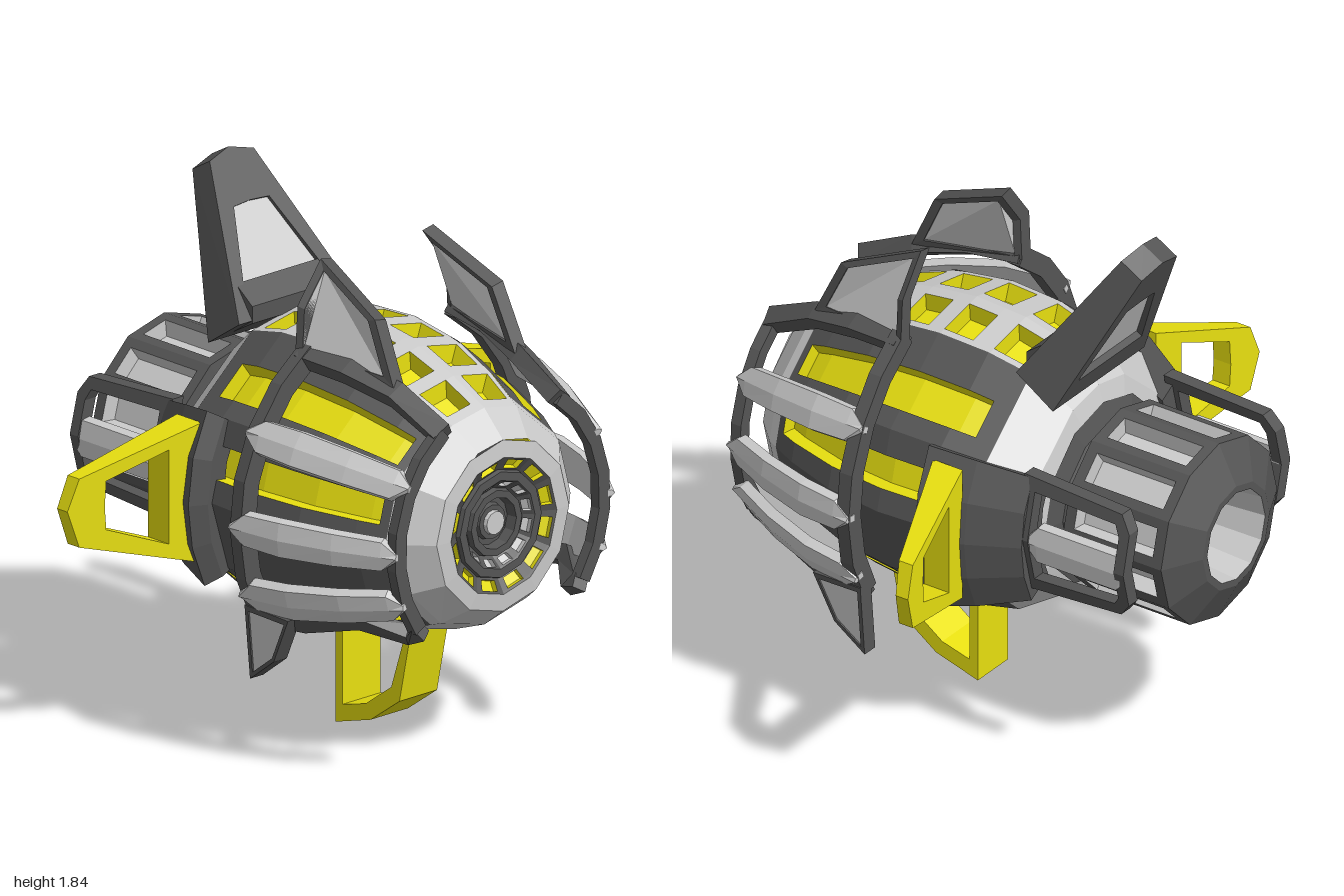
import * as THREE from 'three';

const CY = 0.85; // height of the long axis
const V = (x, y, z) => new THREE.Vector3(x, y, z);
const mat = (color) => new THREE.MeshStandardMaterial({ color, flatShading: true, side: THREE.DoubleSide });
const light = mat(0xcccccc), dark = mat(0x555555), yellow = mat(0xe8e010);
const rad = THREE.MathUtils.degToRad;

// Piecewise linear lookup in a list of [z, radius]
function lookup(table, z) {
  for (let i = 1; i < table.length; i++) {
    const [z0, r0] = table[i - 1], [z1, r1] = table[i];
    if (z <= z1 || i === table.length - 1) return r0 + (r1 - r0) * (z - z0) / (z1 - z0);
  }
}

// Faceted mesh from a flat list of triangle corners
function mesh(name, tris, material) {
  const g = new THREE.BufferGeometry().setFromPoints(tris);
  g.computeVertexNormals();
  const m = new THREE.Mesh(g, material);
  m.name = name;
  return m;
}
const quad = (out, a, b, c, d) => out.push(a, b, c, a, c, d);

// Joins rings of points into a solid; ring=true closes it into a hoop, otherwise ends are capped
function loft(name, rings, material, ring = false) {
  const out = [], n = rings[0].length;
  for (let i = 0; i < rings.length - (ring ? 0 : 1); i++) {
    const a = rings[i], b = rings[(i + 1) % rings.length];
    for (let j = 0; j < n; j++) quad(out, a[j], a[(j + 1) % n], b[(j + 1) % n], b[j]);
  }
  if (!ring) {
    const a = rings[0], b = rings.at(-1);
    for (let j = 1; j < n - 1; j++) out.push(a[0], a[j + 1], a[j], b[0], b[j], b[j + 1]);
  }
  let vol = 0;
  for (let i = 0; i < out.length; i += 3) vol += out[i].dot(out[i + 1].clone().cross(out[i + 2]));
  if (vol < 0) out.reverse();
  return mesh(name, out, material);
}

// Flat frame with an opening; place(point, t) gives the front (t=0) to back (t=1) position
const frame = (name, outer, inner, place, material) => loft(name, outer.map((o, i) =>
  [place(o, 0), place(o, 1), place(inner[i], 1), place(inner[i], 0)]), material, true);
const infill = (name, inner, place, material) =>
  loft(name, [inner.map((p) => place(p, 0.1)), inner.map((p) => place(p, 0.85))], material);

// Bar along a path; section(i) lists [sideways, outward] offsets from the axis of the body
function beam(name, pts, section, material) {
  return loft(name, pts.map((p, i) => {
    const T = pts[Math.min(i + 1, pts.length - 1)].clone().sub(pts[Math.max(i - 1, 0)]).normalize();
    const N = V(p.x, p.y - CY, 0);
    N.addScaledVector(T, -N.dot(T)).normalize();
    const S = T.clone().cross(N);
    return section(i).map(([s, n]) => p.clone().addScaledVector(S, s).addScaledVector(N, n));
  }), material);
}
const box = (w, t) => () => [[-w / 2, -t / 2], [w / 2, -t / 2], [w / 2, t / 2], [-w / 2, t / 2]];
const slatSection = (widths) => (i) => {
  const w = widths[i];
  return [[-w, -0.02], [w, -0.02], [w * 0.9, 0.015], [0, 0.025], [-w * 0.9, 0.015]];
};

// Grid skin with recessed windows: skin corners from top(i, j), window floors from floor(i, j)
function windowSkin(group, name, rows, cols, top, floor, hole, skinMat, floorMat) {
  const skin = [], base = [];
  const open = (i, j) => i >= 0 && j >= 0 && i < rows && j < cols && hole(i, j);
  for (let i = 0; i < rows; i++) for (let j = 0; j < cols; j++) {
    const c = [[i, j], [i, j + 1], [i + 1, j + 1], [i + 1, j]];
    if (!open(i, j)) { quad(skin, ...c.map((q) => top(...q))); continue; }
    quad(base, ...c.map((q) => floor(...q)));
    [[i, j - 1, 3, 0], [i, j + 1, 1, 2], [i - 1, j, 0, 1], [i + 1, j, 2, 3]].forEach(([ni, nj, a, b]) => {
      if (!open(ni, nj)) quad(base, top(...c[a]), top(...c[b]), floor(...c[b]), floor(...c[a]));
    });
  }
  group.add(mesh(name, skin, skinMat));
  if (base.length) group.add(mesh(name + 'Recess', base, floorMat));
}

// Turned part about the z axis, points are [radius, z]
function turned(name, pts, material) {
  const g = new THREE.LatheGeometry(pts.map(([r, z]) => new THREE.Vector2(r, z)), 12);
  g.rotateX(Math.PI / 2).translate(0, CY, 0);
  const m = new THREE.Mesh(g, material);
  m.name = name;
  return m;
}

// Twelve windows around a cone or drum
function windowRing(group, name, zr, floorZr, skinMat, floorMat) {
  const us = [0, 0.2, 0.8, 1];
  const at = (p, j) => {
    const k = Math.floor(j / 3), u = us[j % 3];
    const P = (q) => V(p[1] * Math.cos(q * Math.PI / 6), CY + p[1] * Math.sin(q * Math.PI / 6), p[0]);
    return P(k).lerp(P(k + 1), u);
  };
  windowSkin(group, name, 3, 36, (i, j) => at(zr[i], j), (i, j) => at(floorZr[i], j),
    (i, j) => i === 1 && j % 3 === 1, skinMat, floorMat);
}

const HULL = [[-0.33, 0.28], [-0.3, 0.39], [-0.16, 0.51], [0, 0.55], [0.2, 0.56], [0.42, 0.53], [0.62, 0.46], [0.76, 0.39], [0.85, 0.3]];
const CAGE = [[0.24, 0.635], [0.45, 0.61], [0.64, 0.55], [0.85, 0.455]];

function hullPoint(deg, z, inset = 0) {
  const r = lookup(HULL, z) - inset, a = rad(deg), s = Math.sin(a);
  const ry = s < 0 && r > 0.31 ? 0.31 + (r - 0.31) * 0.74 : r; // flatter belly
  return V(r * Math.cos(a), CY + ry * s, z);
}

// One lengthwise facet of the hull
function hullFacet(group, name, a0, a1, zs, us, hole, sx, skinMat) {
  const at = (inset) => (i, j) => {
    const p = hullPoint(a0, zs[i], inset).lerp(hullPoint(a1, zs[i], inset), us[j]);
    p.x *= sx;
    return p;
  };
  windowSkin(group, name, zs.length - 1, us.length - 1, at(0), at(0.065), hole, skinMat, yellow);
}

function hull() {
  const g = new THREE.Group();
  g.name = 'hull';
  const none = () => false;
  const topZ = [-0.33, -0.3, -0.16];
  for (const c of [-0.06, 0.14, 0.32, 0.5, 0.67]) topZ.push(c - 0.06, c + 0.055);
  topZ.push(0.76, 0.85);
  const slotZ = [-0.16, -0.09, 0, 0.2, 0.42, 0.62, 0.69, 0.72];
  for (const sx of [1, -1]) {
    hullFacet(g, 'topPanel', 68, 90, topZ, [0, 0.12, 0.8, 1], (i, j) => j === 1 && i >= 3 && i <= 11 && i % 2 === 1, sx, light);
    for (const [a0, a1, u0, u1] of [[30, 68, 0.2, 0.6], [0, 30, 0.28, 0.68], [-60, -30, 0.25, 0.68]]) {
      hullFacet(g, 'slotPanel', a0, a1, slotZ, [0, u0, u1, 1], (i, j) => j === 1 && i >= 1 && i <= 5, sx, dark);
    }
    hullFacet(g, 'sidePanel', -30, 0, slotZ, [0, 1], none, sx, dark);
    for (const [a0, a1] of [[30, 68], [0, 30], [-30, 0], [-60, -30]]) {
      hullFacet(g, 'rearCollar', a0, a1, [-0.33, -0.3, -0.16], [0, 1], none, sx, light);
      hullFacet(g, 'frontCollar', a0, a1, [0.72, 0.76, 0.85], [0, 1], none, sx, light);
    }
    hullFacet(g, 'bellyPanel', -90, -60, HULL.map((p) => p[0]), [0, 1], none, sx, light);
  }
  return g;
}

function nose() {
  const g = new THREE.Group();
  g.name = 'nose';
  g.add(turned('noseRing', [[0.3, 0.85], [0.24, 0.855]], light));
  windowRing(g, 'outerVents', [[0.855, 0.24], [0.85, 0.232], [0.83, 0.198], [0.825, 0.19]],
    [[0.84, 0.24], [0.83, 0.238], [0.81, 0.205], [0.8, 0.2]], dark, yellow);
  g.add(turned('noseStep', [[0.19, 0.825], [0.185, 0.84], [0.155, 0.84]], dark));
  windowRing(g, 'innerVents', [[0.84, 0.155], [0.835, 0.15], [0.81, 0.13], [0.8, 0.12]],
    [[0.82, 0.16], [0.815, 0.155], [0.79, 0.135], [0.78, 0.13]], dark, light);
  g.add(turned('noseCore', [[0.12, 0.8], [0.115, 0.82], [0.09, 0.82], [0.085, 0.78], [0.065, 0.78], [0.06, 0.8], [0.042, 0.8]], dark));
  g.add(turned('noseButton', [[0.042, 0.8], [0.04, 0.815], [0, 0.815]], light));
  return g;
}

function engine() {
  const g = new THREE.Group();
  g.name = 'engine';
  g.add(turned('nozzleBore', [[0, -0.62], [0.14, -0.62], [0.165, -0.86]], light));
  g.add(turned('nozzleRim', [[0.165, -0.86], [0.19, -0.86], [0.33, -0.79]], dark));
  windowRing(g, 'engineDrum', [[-0.79, 0.33], [-0.75, 0.33], [-0.43, 0.33], [-0.39, 0.33]],
    [[-0.79, 0.27], [-0.75, 0.27], [-0.43, 0.27], [-0.39, 0.27]], dark, light);
  g.add(turned('engineNeck', [[0.33, -0.39], [0.25, -0.38], [0.26, -0.34], [0.33, -0.32]], dark));
  return g;
}

// Slatted side shell with its fins, side wing and engine loop
function side(sx) {
  const g = new THREE.Group();
  g.name = sx > 0 ? 'leftSide' : 'rightSide';
  const m = (v) => V(v.x * sx, v.y, v.z);
  const C = (deg, z, up = 0) => {
    const r = lookup(CAGE, z) + up, a = rad(deg);
    return V(sx * r * Math.cos(a), CY + r * Math.sin(a), z);
  };
  const arc = (a0, a1, z) => Array.from({ length: 7 }, (_, i) => C(a0 + (a1 - a0) * i / 6, z));
  g.add(beam('rearHoop', arc(59, -31, 0.265), box(0.05, 0.07), dark));
  g.add(beam('frontHoop', arc(56, -37, 0.83), box(0.04, 0.05), dark));
  g.add(beam('upperRail', [[57, 0.25], [58, 0.45], [59, 0.64], [55, 0.84]].map(([a, z]) => C(a, z)), box(0.07, 0.06), dark));
  g.add(beam('lowerRail', [[-31, 0.25], [-31, 0.45], [-29, 0.66], [-40, 0.79], [-38, 0.84]].map(([a, z]) => C(a, z)), box(0.06, 0.05), dark));
  for (const a of [28, 0, -22]) {
    g.add(beam('slat', [0.24, 0.3, 0.45, 0.64, 0.8, 0.85].map((z) => C(a, z, 0.02)),
      slatSection([0.012, 0.06, 0.066, 0.062, 0.055, 0.012]), light));
  }

  // Upper and lower shell fins
  const fin = (name, pts, off, k) => {
    const outer = pts.map((p) => V(...p));
    const mid = outer.reduce((s, p) => s.add(p), V(0, 0, 0)).divideScalar(outer.length);
    const inner = outer.map((p) => p.clone().lerp(mid, k));
    const place = (p, t) => m(p.clone().addScaledVector(off, t));
    g.add(frame(name, outer, inner, place, dark), infill(name + 'Panel', inner, place, light));
  };
  fin('upperFin', [[0.255, 1.69, 0.24], [0.29, 1.56, 0.54], [0.3, 1.35, 0.64], [0.37, 1.38, 0.24], [0.36, 1.55, 0.24]], V(-0.05, -0.01, 0), 0.18);
  fin('lowerFin', [[0.6, 0.56, 0.24], [0.59, 0.55, 0.44], [0.58, 0.385, 0.36], [0.575, 0.295, 0.24]], V(-0.06, 0, 0), 0.18);

  // Shoulder block under the wing
  const block = [[0.5, 0.03], [0.57, 0.03], [0.63, 0], [0.57, -0.16], [0.48, -0.33], [0.37, -0.33]];
  g.add(loft('shoulder', [-28, -14, 0, 15, 30].map((d) => block.map(([r, z]) =>
    V(sx * r * Math.cos(rad(d)), CY + r * Math.sin(rad(d)), z))), dark));

  // Swept wing
  const wing = (p, t) => {
    const u = (p[0] - 0.55) / 0.45;
    return V(sx * p[0], p[1], t ? -0.14 - 0.1 * u : -0.02 - 0.17 * u);
  };
  g.add(frame('wing', [[0.55, 1.12], [0.96, 0.98], [1, 0.87], [0.96, 0.74], [0.55, 0.63]],
    [[0.66, 1.04], [0.87, 0.96], [0.875, 0.87], [0.87, 0.79], [0.66, 0.71]], wing, yellow));

  // Open loop beside the engine, bowed outward at mid height
  const loop = ([z, y], t) => V(sx * (0.475 - 0.25 * Math.abs(y - 0.88) - 0.05 * t), y, z);
  g.add(frame('engineLoop',
    [[-0.3, 1.1], [-0.7, 1.08], [-0.74, 1.02], [-0.74, 0.88], [-0.74, 0.75], [-0.7, 0.7], [-0.3, 0.67], [-0.3, 0.88]],
    [[-0.35, 1.05], [-0.68, 1.04], [-0.7, 1], [-0.7, 0.88], [-0.7, 0.77], [-0.68, 0.74], [-0.35, 0.72], [-0.35, 0.88]], loop, dark));
  g.add(beam('loopSlat', [-0.33, -0.38, -0.7, -0.73].map((z) => V(sx * 0.445, 0.87, z)),
    slatSection([0.012, 0.07, 0.07, 0.03]), light));
  return g;
}

export function createModel() {
  const model = new THREE.Group();
  model.name = 'spacecraft';
  model.add(hull(), nose(), engine(), side(1), side(-1));

  // Raked tail fin on a sill
  const tail = ([x, v], t) => V(x, 1.36 + 0.48 * v - t * (0.1 - 0.055 * v), -0.15 - 0.33 * v - t * (0.15 - 0.07 * v));
  const tailInner = [[-0.18, 0.18], [-0.08, 0.66], [0, 0.67], [0.08, 0.66], [0.18, 0.18]];
  model.add(frame('tailFin', [[-0.26, 0], [-0.1, 0.95], [0, 1], [0.1, 0.95], [0.26, 0]], tailInner, tail, dark));
  model.add(infill('tailFinPanel', tailInner, tail, light));
  const sill = [[-0.15, 1.35], [-0.15, 1.41], [-0.23, 1.47], [-0.27, 1.4], [-0.24, 1.3]];
  model.add(loft('tailSill', [-0.2, 0.2].map((x) => sill.map(([z, y]) => V(x, y, z))), dark));

  // Keel loop below the belly, points are [z, y]
  const keel = ([z, y], t) => V(0.085 - 0.17 * t, y, z);
  model.add(frame('keel', [[0.5, 0.43], [0.44, 0.15], [0.3, 0.05], [0.13, 0], [0.13, 0.4]],
    [[0.465, 0.385], [0.4, 0.19], [0.275, 0.1], [0.165, 0.07], [0.165, 0.385]], keel, yellow));
  return model;
}
